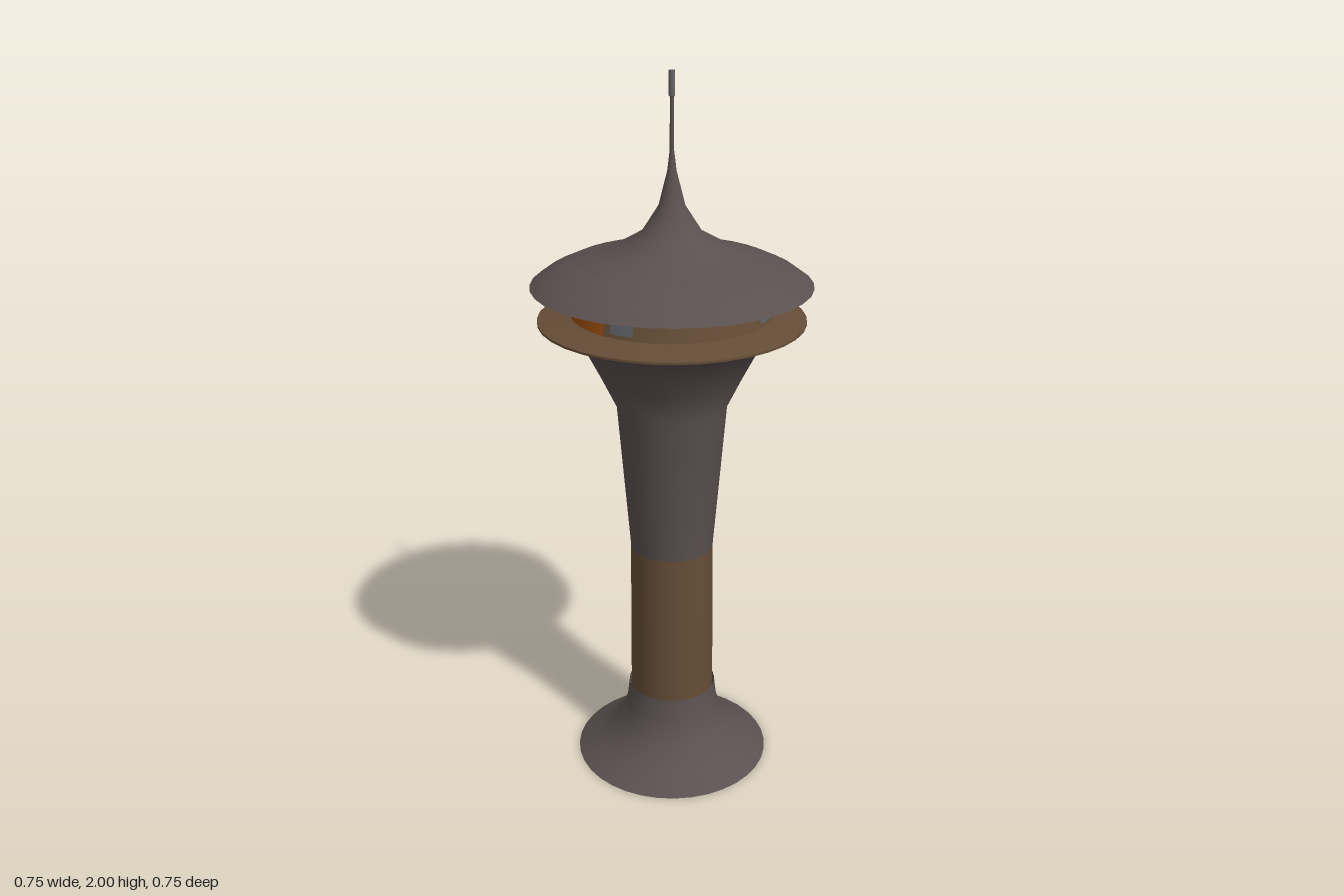
import * as THREE from 'three';

const material = (name, color) =>
  new THREE.MeshStandardMaterial({ name, color, side: THREE.DoubleSide });

export function createModel() {
  const group = new THREE.Group();
  const grey = material('warm grey', 0x5a504f);
  const brown = material('brown', 0x654d37);
  const orange = material('orange', 0x964a10);
  const glass = material('blue grey', 0x5c5f67);
  const steel = material('steel', 0x6a6668);
  const rad = THREE.MathUtils.degToRad;

  // Turned shell from [radius, height] pairs; angles run from +z towards +x
  const turn = (name, mat, profile, from = 0, to = 360, segments = 36) => {
    const points = profile.map(([r, y]) => new THREE.Vector2(r, y));
    const geometry = new THREE.LatheGeometry(points, segments, rad(from), rad(to - from));
    const mesh = new THREE.Mesh(geometry, mat);
    mesh.name = name;
    group.add(mesh);
  };

  // Flared foot and tower shaft
  turn('base', grey, [[0.282, 0], [0.215, 0.045], [0.16, 0.095], [0.134, 0.16], [0.126, 0.228]]);
  turn('shaft', brown, [[0.12, 0.11], [0.12, 0.35], [0.117, 0.68]]);
  turn('upperShaft', grey, [[0.117, 0.68], [0.152, 1.11], [0.195, 1.2], [0.246, 1.3], [0.36, 1.352]]);

  // Deck ring around the cabin
  turn('deckEdge', brown, [[0.36, 1.352], [0.36, 1.358]]);
  turn('deck', brown, [[0.36, 1.358], [0.27, 1.375]]);

  // Cabin drum: brown sector facing front left, orange around the back
  const wall = [[0.272, 1.372], [0.251, 1.455]];
  turn('cabinFront', brown, wall, -32, 88, 12);
  turn('cabinBack', orange, wall, 88, 328, 24);
  turn('cabinCollar', grey, [[0.251, 1.455], [0.24, 1.518]]);

  // Two window panels on the brown sector
  for (const angle of [-20, 73]) {
    turn('window', glass, [[0.2715, 1.386], [0.2575, 1.442]], angle - 7, angle + 7, 4);
  }

  // Sweeping roof, spire and mast tip
  turn('roof', grey, [[0.376, 1.45], [0.335, 1.48], [0.275, 1.508], [0.21, 1.526], [0.15, 1.55],
    [0.08, 1.59], [0.035, 1.66], [0.012, 1.75], [0.006, 1.8]]);
  turn('mast', grey, [[0.006, 1.8], [0.005, 1.94]], 0, 360, 12);
  turn('mastTip', steel, [[0.005, 1.935], [0.008, 1.938], [0.008, 2]], 0, 360, 12);

  return group;
}
